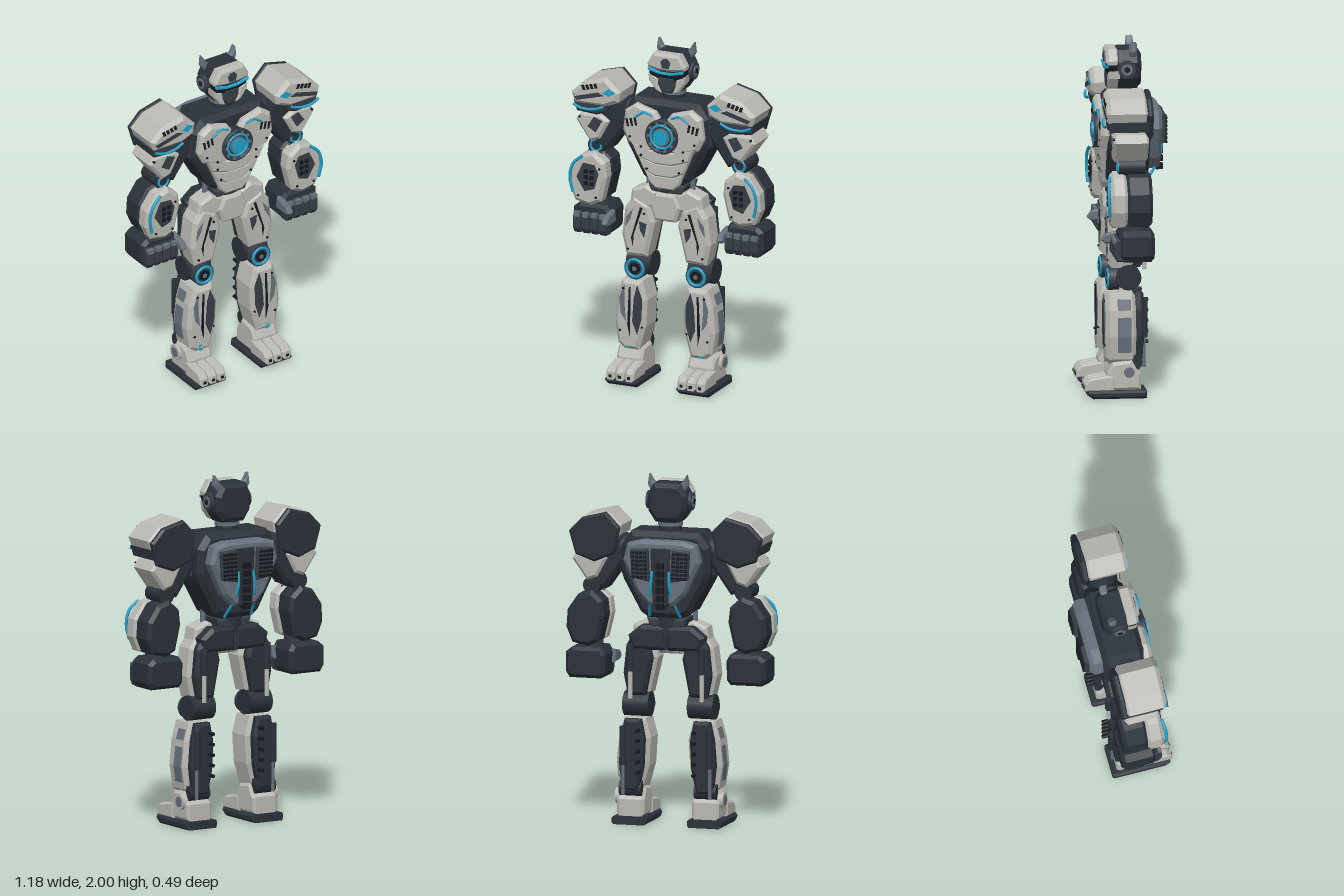
import * as THREE from 'three';

const mat = (name, color) => {
  const m = new THREE.MeshStandardMaterial({ color });
  m.name = name;
  return m;
};
const light = mat('warm grey armour', 0xbab9b3);
const dark = mat('dark frame', 0x2a3139);
const panel = mat('charcoal panel', 0x363d45);
const mid = mat('slate grey', 0x66707b);
const black = mat('black trim', 0x15191e);
const blue = mat('blue glow', 0x1fa0c8);

function add(parent, name, geo, material) {
  const mesh = new THREE.Mesh(geo, material);
  mesh.name = name;
  parent.add(mesh);
  return mesh;
}
// Bevelled extrusion of a front outline from z0 to z1; s mirrors it in x
function plate(parent, name, pts, z0, z1, material, b = 0.012, s = 1) {
  const shape = new THREE.Shape(pts.map(([x, y]) => new THREE.Vector2(x * s, y)));
  const geo = new THREE.ExtrudeGeometry(shape, {
    depth: z1 - z0 - 2 * b, bevelEnabled: b > 0, bevelThickness: b, bevelSize: b, bevelOffset: -b, bevelSegments: 1,
  });
  geo.translate(0, 0, z0 + b);
  return add(parent, name, geo, material);
}
// Same, from a side outline of (z, y) points, between x0 and x1
function sidePlate(parent, name, pts, x0, x1, material, b = 0.01, s = 1) {
  const [lo, hi] = s > 0 ? [x0, x1] : [-x1, -x0];
  const mesh = plate(parent, name, pts, -hi, -lo, material, b);
  mesh.geometry.rotateY(-Math.PI / 2);
  return mesh;
}
const sym = (half) => [...half, ...half.map(([x, y]) => [-x, y]).reverse()];
const decal = (parent, name, pts, z, material, s) => plate(parent, name, pts, z, z + 0.006, material, 0, s);

function box(parent, name, w, h, d, x, y, z, material) {
  const geo = new THREE.BoxGeometry(w, h, d);
  geo.translate(x, y, z);
  return add(parent, name, geo, material);
}
function cyl(parent, name, r, len, x, y, z, axis, material, seg = 20) {
  const geo = new THREE.CylinderGeometry(r, r, len, seg);
  if (axis === 'x') geo.rotateZ(Math.PI / 2);
  if (axis === 'z') geo.rotateX(Math.PI / 2);
  geo.translate(x, y, z);
  return add(parent, name, geo, material);
}
function ring(parent, name, r, t, x, y, z, material) {
  const geo = new THREE.TorusGeometry(r, t, 8, 28);
  geo.translate(x, y, z);
  return add(parent, name, geo, material);
}
function tube(parent, name, pts, r, material, s = 1) {
  const curve = new THREE.CatmullRomCurve3(pts.map(([x, y, z]) => new THREE.Vector3(x * s, y, z)));
  return add(parent, name, new THREE.TubeGeometry(curve, 16, r, 8), material);
}
const bolts = (parent, pts, s) => pts.forEach(([x, y, z]) => cyl(parent, 'bolt', 0.007, 0.012, x * s, y, z, 'z', black, 8));
function part(parent, name) {
  const g = new THREE.Group();
  g.name = name;
  parent.add(g);
  return g;
}

function buildHead(root) {
  const g = part(root, 'head');
  cyl(g, 'neck', 0.065, 0.12, 0, 1.71, -0.02, 'y', dark);
  cyl(g, 'neckRing', 0.07, 0.02, 0, 1.715, -0.02, 'y', mid);
  plate(g, 'skull', sym([[0.07, 1.73], [0.11, 1.79], [0.118, 1.88], [0.08, 1.95]]), -0.105, 0.05, dark, 0.025);
  plate(g, 'brow', sym([[0.04, 1.855], [0.115, 1.868], [0.118, 1.89], [0.08, 1.955]]), 0.02, 0.095, light, 0.015);
  plate(g, 'visor', sym([[0.04, 1.8], [0.105, 1.82], [0.115, 1.87], [0.04, 1.86]]), 0.03, 0.085, black, 0.008);
  plate(g, 'visorGlow', sym([[0.035, 1.835], [0.108, 1.852], [0.11, 1.868], [0.035, 1.849]]), 0.08, 0.1, blue, 0.003);
  plate(g, 'mouthGuard', sym([[0.03, 1.725], [0.055, 1.77], [0.05, 1.82]]), 0.02, 0.088, panel, 0.01);
  decal(g, 'browPanel', sym([[0.02, 1.875], [0.03, 1.91], [0.012, 1.93]]), 0.094, panel, 1);
  for (const s of [1, -1]) {
    plate(g, 'cheek', [[0.035, 1.722], [0.07, 1.735], [0.11, 1.79], [0.115, 1.835], [0.06, 1.81], [0.05, 1.76]], 0.01, 0.085, light, 0.008, s);
    plate(g, 'horn', [[0.11, 2], [0.118, 1.94], [0.095, 1.9], [0.05, 1.93], [0.085, 1.96]], -0.078, -0.035, mid, 0.008, s);
    cyl(g, 'earDisc', 0.05, 0.03, s * 0.118, 1.845, -0.02, 'x', panel);
    cyl(g, 'earCap', 0.032, 0.04, s * 0.118, 1.845, -0.02, 'x', mid);
    cyl(g, 'earHub', 0.016, 0.046, s * 0.118, 1.845, -0.02, 'x', black);
  }
}

function buildTorso(root) {
  const g = part(root, 'torso');
  plate(g, 'ribcage', sym([[0.1, 1.19], [0.145, 1.22], [0.245, 1.4], [0.262, 1.45], [0.258, 1.6], [0.2, 1.68]]), -0.14, 0.1, dark, 0.03);
  // Stacked belly plates
  for (let i = 0; i < 3; i++) {
    const y = 1.43 - i * 0.075, w = 0.195 - i * 0.033, v = w - 0.035;
    plate(g, 'bellyPlate', sym([[0.055, y - 0.115], [v, y - 0.08], [w, y], [0.06, y - 0.035]]), 0.06, 0.14 - i * 0.01, light, 0.01);
  }
  // Chest reactor
  cyl(g, 'coreHousing', 0.1, 0.08, 0, 1.485, 0.11, 'z', dark, 28);
  ring(g, 'coreRim', 0.092, 0.01, 0, 1.485, 0.149, panel);
  ring(g, 'coreGlowRing', 0.067, 0.008, 0, 1.485, 0.151, blue);
  cyl(g, 'coreCollar', 0.052, 0.02, 0, 1.485, 0.15, 'z', mid, 28);
  cyl(g, 'coreLight', 0.043, 0.02, 0, 1.485, 0.16, 'z', blue, 28);
  for (let i = 0; i < 10; i++) {
    const a = (i * Math.PI) / 5;
    box(g, 'coreTooth', 0.014, 0.014, 0.012, 0.081 * Math.cos(a), 1.485 + 0.081 * Math.sin(a), 0.154, mid);
  }
  // Backpack with spine
  plate(g, 'backpack', sym([[0.07, 1.27], [0.14, 1.34], [0.225, 1.52], [0.2, 1.62], [0.12, 1.64]]), -0.212, -0.12, mid, 0.02);
  plate(g, 'backRecess', sym([[0.045, 1.27], [0.06, 1.6]]), -0.217, -0.19, dark, 0.004);
  for (let i = 0; i < 6; i++) box(g, 'spineBlock', 0.045, 0.034, 0.04, 0, 1.27 + i * 0.046, -0.215, black);
  cyl(g, 'waist', 0.1, 0.12, 0, 1.15, -0.01, 'y', dark, 16);
  plate(g, 'belt', sym([[0.1, 1.13], [0.115, 1.185]]), -0.1, 0.085, panel, 0.012);

  for (const s of [1, -1]) {
    plate(g, 'chestPlate', [[0.015, 1.57], [0.05, 1.62], [0.17, 1.655], [0.235, 1.61], [0.25, 1.49], [0.215, 1.42], [0.1, 1.38], [0.015, 1.39]], 0.08, 0.14, light, 0.018, s);
    tube(g, 'chestGlow', [[0.06, 1.6, 0.142], [0.11, 1.615, 0.145], [0.165, 1.58, 0.143]], 0.007, blue, s);
    for (let i = 0; i < 3; i++) {
      const x = 0.155 + i * 0.025, y = 1.55 - i * 0.006;
      decal(g, 'chestVent', [[x, y - 0.02], [x + 0.012, y - 0.02], [x + 0.022, y + 0.025], [x + 0.008, y + 0.025]], 0.137, black, s);
    }
    bolts(g, [[0.2, 1.46, 0.14], [0.13, 1.41, 0.14], [0.13, 1.36, 0.14], [0.1, 1.28, 0.13]], s);
    plate(g, 'flankPlate', [[0.235, 1.4], [0.268, 1.44], [0.265, 1.56], [0.25, 1.56]], -0.06, 0.07, panel, 0.005, s);
    plate(g, 'backVent', [[0.06, 1.41], [0.165, 1.43], [0.175, 1.59], [0.07, 1.6]], -0.235, -0.2, panel, 0.006, s);
    for (let r = 0; r < 7; r++) for (let c = 0; c < 4; c++)
      box(g, 'ventStud', 0.017, 0.014, 0.012, s * (0.08 + c * 0.024 + r * 0.001), 1.435 + r * 0.023, -0.238, black);
    tube(g, 'backCable', [[0.05, 1.47, -0.216], [0.055, 1.38, -0.222], [0.07, 1.29, -0.19], [0.09, 1.2, -0.13]], 0.008, blue, s);
    cyl(g, 'waistPiston', 0.015, 0.1, s * 0.135, 1.19, 0.02, 'y', mid, 12);
    // Hips
    plate(g, 'hipPlate', [[0.06, 1.13], [0.13, 1.165], [0.215, 1.13], [0.228, 1.04], [0.19, 1.02], [0.06, 1.04]], -0.03, 0.09, light, 0.015, s);
    plate(g, 'rearHip', [[0, 1.14], [0.15, 1.14], [0.225, 1.08], [0.2, 1], [0, 1.0]], -0.115, -0.02, dark, 0.02, s);
  }
  plate(g, 'pelvisPlate', sym([[0.065, 0.972], [0.095, 1.06], [0.06, 1.135]]), -0.03, 0.11, light, 0.015);
}

function buildArm(root, s) {
  const g = part(root, s > 0 ? 'leftArm' : 'rightArm');
  cyl(g, 'shoulderJoint', 0.075, 0.18, s * 0.29, 1.57, -0.01, 'x', dark);
  plate(g, 'upperArm', [[0.27, 1.64], [0.25, 1.5], [0.37, 1.33], [0.46, 1.36], [0.44, 1.62]], -0.085, 0.075, dark, 0.02, s);
  // Shoulder armour
  const pad = [[0.352, 1.78], [0.268, 1.7], [0.28, 1.64], [0.36, 1.605], [0.545, 1.605], [0.57, 1.67], [0.49, 1.745]];
  plate(g, 'shoulderPad', pad, -0.1, 0.14, light, 0.022, s);
  plate(g, 'shoulderBack', [[0.352, 1.775], [0.27, 1.69], [0.3, 1.54], [0.42, 1.49], [0.53, 1.53], [0.568, 1.66], [0.49, 1.74]], -0.125, -0.085, dark, 0.012, s);
  plate(g, 'shoulderSkirt', [[0.33, 1.63], [0.36, 1.57], [0.42, 1.55], [0.54, 1.56], [0.56, 1.62]], -0.11, 0.125, panel, 0.012, s);
  tube(g, 'shoulderGlow', [[0.36, 1.61, 0.14], [0.42, 1.59, 0.147], [0.5, 1.588, 0.147], [0.55, 1.605, 0.14]], 0.008, blue, s);
  decal(g, 'shoulderMark', [[0.29, 1.7], [0.33, 1.675], [0.37, 1.69], [0.33, 1.72]], 0.138, blue, s);
  decal(g, 'shoulderSeam', [[0.36, 1.675], [0.53, 1.63], [0.545, 1.65], [0.4, 1.69]], 0.137, panel, s);
  for (let i = 0; i < 4; i++) {
    const x = 0.4 + i * 0.025;
    decal(g, 'shoulderVent', [[x, 1.715 - i * 0.006], [x + 0.016, 1.712 - i * 0.006], [x + 0.026, 1.738 - i * 0.006], [x + 0.01, 1.742 - i * 0.006]], 0.137, black, s);
  }
  plate(g, 'armGuard', [[0.557, 1.5], [0.525, 1.545], [0.4, 1.545], [0.35, 1.51], [0.41, 1.4], [0.47, 1.38]], -0.1, 0.1, light, 0.015, s);
  decal(g, 'armGuardInset', [[0.44, 1.53], [0.39, 1.51], [0.43, 1.44], [0.48, 1.47]], 0.098, panel, s);
  // Elbow
  cyl(g, 'elbow', 0.05, 0.15, s * 0.445, 1.35, -0.01, 'z', dark);
  ring(g, 'elbowGlow', 0.032, 0.007, s * 0.445, 1.35, 0.067, blue);
  for (const x of [0.42, 0.47]) cyl(g, 'elbowRod', 0.012, 0.12, s * x, 1.34, 0.05, 'y', mid, 10);
  // Forearm
  const fore = [[0.52, 1.3], [0.44, 1.325], [0.37, 1.265], [0.36, 1.18], [0.395, 1.035], [0.46, 1.005], [0.555, 1.025], [0.592, 1.11], [0.585, 1.21]];
  plate(g, 'forearmShell', fore, 0.02, 0.118, light, 0.02, s);
  plate(g, 'forearmBack', fore.map(([x, y]) => [0.475 + (x - 0.475) * 0.96, y]), -0.118, 0.03, dark, 0.02, s);
  decal(g, 'forearmInset', [[0.5, 1.255], [0.43, 1.25], [0.405, 1.2], [0.43, 1.11], [0.49, 1.09], [0.54, 1.17]], 0.116, panel, s);
  for (let i = 0; i < 6; i++) box(g, 'forearmStud', 0.022, 0.022, 0.01, s * (0.445 + (i % 2) * 0.035), 1.14 + (i >> 1) * 0.035, 0.125, black);
  tube(g, 'forearmGlow', [[0.5, 1.3, 0.12], [0.555, 1.25, 0.13], [0.577, 1.17, 0.13], [0.56, 1.08, 0.125]], 0.009, blue, s);
  bolts(g, [[0.4, 1.23, 0.118], [0.42, 1.06, 0.118], [0.53, 1.06, 0.118], [0.53, 1.52, 0.1]], s);
  // Fist
  cyl(g, 'wrist', 0.07, 0.08, s * 0.465, 1, -0.02, 'y', panel, 12);
  plate(g, 'palm', [[0.36, 0.85], [0.38, 0.825], [0.565, 0.825], [0.588, 0.86], [0.588, 0.97], [0.55, 1], [0.38, 1], [0.355, 0.96]], -0.128, 0.07, dark, 0.02, s);
  for (let i = 0; i < 4; i++) {
    const x = 0.39 + i * 0.053;
    sidePlate(g, 'finger', [[0.03, 0.825], [0.085, 0.83], [0.105, 0.86], [0.105, 0.93], [0.08, 0.955], [0.03, 0.955]], x - 0.024, x + 0.024, panel, 0.007, s);
    box(g, 'knuckle', 0.036, 0.028, 0.02, s * x, 0.94, 0.095, mid);
  }
  sidePlate(g, 'thumb', [[0.02, 0.9], [0.13, 0.9], [0.155, 0.92], [0.13, 0.955], [0.03, 0.975]], 0.338, 0.375, mid, 0.008, s);
}

function buildLeg(root, s) {
  const g = part(root, s > 0 ? 'leftLeg' : 'rightLeg');
  // Thigh
  const thigh = [[0.2, 1.1], [0.1, 1.05], [0.07, 0.95], [0.12, 0.74], [0.245, 0.735], [0.275, 0.86], [0.255, 1.02]];
  plate(g, 'thighShell', thigh, -0.045, 0.1, light, 0.022, s);
  plate(g, 'thighBack', thigh.map(([x, y]) => [0.175 + (x - 0.175) * 0.82, y]), -0.1, -0.03, dark, 0.02, s);
  decal(g, 'thighInset', [[0.11, 0.94], [0.155, 0.95], [0.15, 0.9], [0.125, 0.86]].map(([x, y]) => [x + 0.005, y]), 0.098, panel, s);
  decal(g, 'thighSlit', [[0.14, 1.03], [0.155, 1.035], [0.21, 0.85], [0.2, 0.8], [0.195, 0.87]], 0.098, black, s);
  decal(g, 'thighStripe', [[0.2, 1.02], [0.24, 0.97], [0.245, 0.91], [0.215, 0.96]], 0.098, mid, s);
  cyl(g, 'thighPistonSleeve', 0.02, 0.15, s * 0.21, 0.95, -0.108, 'y', dark, 12);
  cyl(g, 'thighPistonRod', 0.013, 0.2, s * 0.21, 0.82, -0.108, 'y', light, 12);
  // Knee
  cyl(g, 'kneeJoint', 0.072, 0.15, s * 0.19, 0.68, -0.015, 'x', dark, 16);
  cyl(g, 'kneeCap', 0.066, 0.06, s * 0.19, 0.668, 0.065, 'z', panel, 24);
  ring(g, 'kneeGlow', 0.051, 0.009, s * 0.19, 0.668, 0.096, blue);
  cyl(g, 'kneeHub', 0.032, 0.02, s * 0.19, 0.668, 0.094, 'z', black);
  cyl(g, 'kneePin', 0.014, 0.026, s * 0.19, 0.668, 0.094, 'z', mid, 10);
  // Shin
  const shin = [[0.265, 0.6], [0.295, 0.5], [0.31, 0.35], [0.29, 0.22], [0.25, 0.19], [0.16, 0.19], [0.12, 0.33], [0.11, 0.49], [0.14, 0.6]];
  plate(g, 'shinShell', shin, -0.055, 0.118, light, 0.022, s);
  plate(g, 'calf', shin.map(([x, y]) => [0.205 + (x - 0.205) * 0.75, y]), -0.1, -0.04, dark, 0.015, s);
  decal(g, 'shinInset', [[0.165, 0.575], [0.135, 0.5], [0.138, 0.38], [0.165, 0.285], [0.195, 0.36], [0.185, 0.5]], 0.116, panel, s);
  decal(g, 'shinPanel', [[0.245, 0.57], [0.275, 0.49], [0.265, 0.4], [0.235, 0.36], [0.245, 0.47]], 0.116, mid, s);
  decal(g, 'shinSlit', [[0.205, 0.56], [0.215, 0.56], [0.225, 0.34], [0.21, 0.27]], 0.116, black, s);
  decal(g, 'ankleMark', [[0.205, 0.235], [0.24, 0.235], [0.235, 0.2], [0.215, 0.195]], 0.112, blue, s);
  plate(g, 'shinSidePanel', [[0.285, 0.46], [0.303, 0.46], [0.315, 0.35], [0.304, 0.26], [0.285, 0.26]], -0.025, 0.05, mid, 0.004, s);
  plate(g, 'shinSideVent', [[0.27, 0.56], [0.281, 0.56], [0.299, 0.5], [0.28, 0.5]], -0.025, 0.05, mid, 0.003, s);
  bolts(g, [[0.14, 0.33, 0.112], [0.27, 0.3, 0.118], [0.25, 0.55, 0.118], [0.23, 0.78, 0.1], [0.13, 1.0, 0.1]], s);
  for (let i = 0; i < 5; i++) cyl(g, 'calfFin', 0.011, 0.06, s * 0.165, 0.3 + i * 0.06, -0.105, 'z', black, 10);
  cyl(g, 'calfPiston', 0.018, 0.22, s * 0.255, 0.45, -0.105, 'y', dark, 12);
  cyl(g, 'calfRod', 0.01, 0.2, s * 0.255, 0.27, -0.1, 'y', mid, 10);
  // Foot
  sidePlate(g, 'heel', [[-0.082, 0.045], [0.11, 0.045], [0.11, 0.14], [0.08, 0.2], [-0.03, 0.215], [-0.06, 0.16], [-0.082, 0.14]], 0.14, 0.3, light, 0.015, s);
  for (let i = 0; i < 3; i++) {
    const x = 0.162 + i * 0.058;
    sidePlate(g, 'toe', [[0.07, 0.04], [0.238, 0.04], [0.236, 0.085], [0.21, 0.112], [0.1, 0.13], [0.07, 0.13]], x - 0.0275, x + 0.0275, light, 0.01, s);
    box(g, 'toeSlot', 0.018, 0.016, 0.006, s * x, 0.062, 0.238, black);
  }
  sidePlate(g, 'sole', [[-0.112, 0], [0.19, 0], [0.225, 0.025], [0.22, 0.045], [-0.112, 0.045]], 0.12, 0.322, dark, 0.012, s);
  cyl(g, 'ankleDisc', 0.046, 0.03, s * 0.302, 0.15, -0.012, 'x', light);
  cyl(g, 'ankleHub', 0.03, 0.036, s * 0.302, 0.15, -0.012, 'x', mid);
  cyl(g, 'ankleBack', 0.045, 0.13, s * 0.22, 0.2, -0.045, 'x', dark, 14);
}

export function createModel() {
  const root = new THREE.Group();
  root.name = 'armouredRobot';
  buildHead(root);
  buildTorso(root);
  for (const s of [1, -1]) {
    buildArm(root, s);
    buildLeg(root, s);
  }
  return root;
}
